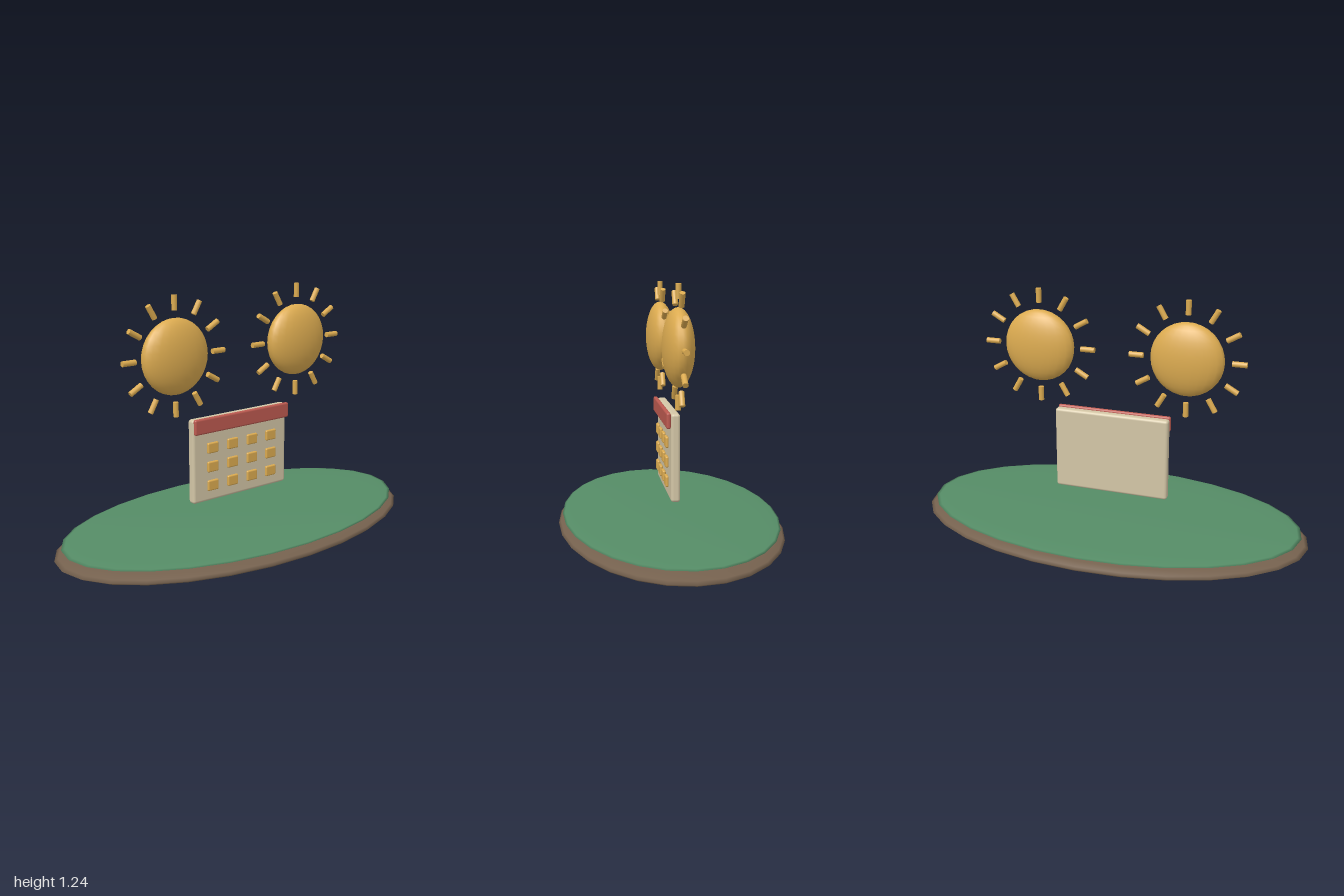
import * as THREE from 'three';
import { RoundedBoxGeometry } from 'three/addons/geometries/RoundedBoxGeometry.js';

const paint = (color) => new THREE.MeshStandardMaterial({ color });
const soil = paint(0x75614e);
const grass = paint(0x558c66);
const cream = paint(0xd3c6a6);
const red = paint(0xbd5a50);
const gold = paint(0xdcab50);

function add(parent, name, geometry, material, x = 0, y = 0, z = 0) {
  const mesh = new THREE.Mesh(geometry, material);
  mesh.name = name;
  mesh.position.set(x, y, z);
  parent.add(mesh);
  return mesh;
}

const ellipsoid = (rx, ry, rz, w, h) => new THREE.SphereGeometry(1, w, h).scale(rx, ry, rz);

// Flattened disc ringed by twelve short round rays
function makeSun(x) {
  const sun = new THREE.Group();
  sun.name = 'sun';
  sun.position.set(x, 0.95, 0);
  add(sun, 'sunDisc', ellipsoid(0.18, 0.18, 0.073, 22, 16), gold);
  const rayGeometry = new THREE.CylinderGeometry(0.0135, 0.0135, 0.07, 10);
  for (let i = 0; i < 12; i++) {
    const a = (i / 12) * Math.PI * 2;
    const ray = add(sun, 'ray', rayGeometry, gold, Math.sin(a) * 0.25, Math.cos(a) * 0.25);
    ray.rotation.z = -a;
  }
  return sun;
}

// Upright board with a red header and a grid of day tiles
function makeCalendar() {
  const calendar = new THREE.Group();
  calendar.name = 'calendar';
  add(calendar, 'board', new RoundedBoxGeometry(0.585, 0.42, 0.044, 3, 0.014), cream, 0, 0.425, 0);
  add(calendar, 'header', new RoundedBoxGeometry(0.585, 0.077, 0.021, 3, 0.009), red, 0, 0.602, 0.033);
  const tile = new RoundedBoxGeometry(0.064, 0.053, 0.016, 3, 0.007);
  for (let row = 0; row < 3; row++) {
    for (let col = 0; col < 4; col++) {
      add(calendar, 'dayTile', tile, gold, (col - 1.5) * 0.122, 0.487 - row * 0.0945, 0.031);
    }
  }
  return calendar;
}

export function createModel() {
  const model = new THREE.Group();
  model.name = 'calendarIsland';

  // Oval base with a grass top
  add(model, 'soilBase', ellipsoid(1, 0.057, 0.545, 28, 16), soil, 0, 0.057, 0);
  add(model, 'grassTop', ellipsoid(0.965, 0.02, 0.525, 28, 16), grass, 0, 0.104, 0);

  // Floating calendar and the pair of suns
  model.add(makeCalendar());
  for (const side of [-1, 1]) model.add(makeSun(side * 0.373));
  return model;
}
